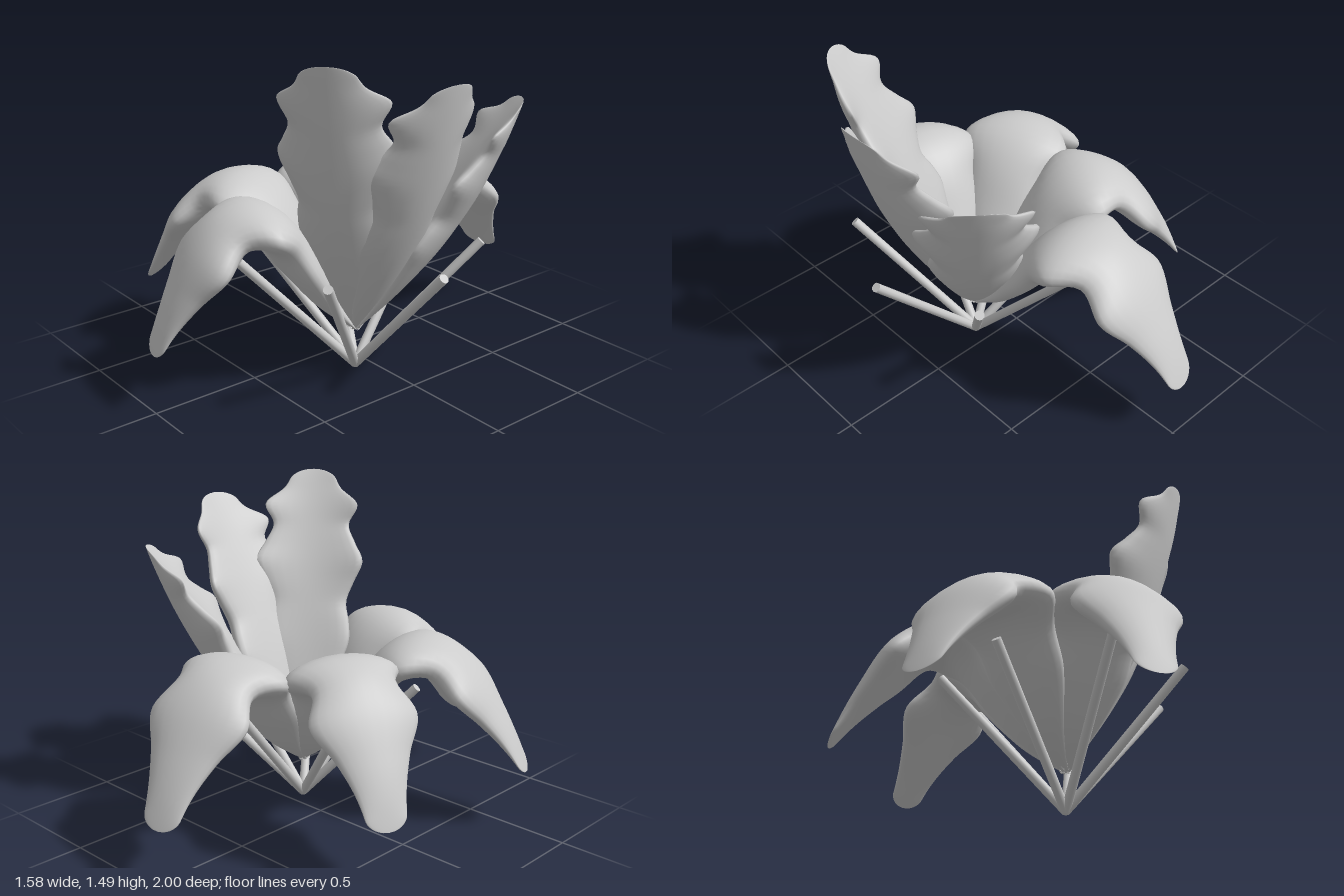
import * as THREE from 'three';

const material = new THREE.MeshStandardMaterial({ color: 0xcccccc });
const RINGS = 64, SIDES = 24, BASE_Y = 0.17;

// Midribs as (outward, height); upright ones are scaled per leaf
const archedRib = [[0, 0.17], [0.15, 0.33], [0.27, 0.5], [0.37, 0.65], [0.45, 0.73], [0.53, 0.76],
  [0.63, 0.735], [0.735, 0.645], [0.85, 0.49], [0.93, 0.37], [1, 0.25]];
const uprightRib = [[0, 0], [0.28, 0.26], [0.54, 0.51], [0.8, 0.78], [1, 1]];

// Half widths at equal steps from base to tip, giving the wavy lobes
const archedWidths = [0.02, 0.07, 0.13, 0.18, 0.195, 0.26, 0.19, 0.24, 0.165, 0.11, 0.085];
const uprightWidths = [0.02, 0.05, 0.085, 0.115, 0.145, 0.175, 0.205, 0.2, 0.185, 0.22, 0.26,
  0.22, 0.185, 0.225, 0.135, 0.1];

const spline = (points) => new THREE.SplineCurve(points.map(([x, y]) => new THREE.Vector2(x, y)));

// Sweeps a plump oval section along a midrib; cup lowers the side edges, or raises them if negative
function leafGeometry(rib, widths, thickness, cup) {
  const path = spline(rib);
  const widthCurve = spline(widths.map((w, i) => [i, w]));
  const positions = [], indices = [];
  for (let i = 0; i <= RINGS; i++) {
    const t = 1 - Math.pow(1 - i / RINGS, 1.5);
    const p = path.getPointAt(t), tan = path.getTangentAt(t);
    const tip = Math.max(0, (t - 0.96) / 0.04);
    const w = widthCurve.getPoint(t).y * Math.sqrt(Math.max(0, 1 - tip * tip));
    const h = thickness * Math.pow(Math.max(0, Math.sin(Math.PI * t)), 0.9);
    for (let j = 0; j < SIDES; j++) {
      const a = (j / SIDES) * Math.PI * 2;
      const side = w * Math.cos(a);
      const n = h * Math.sin(a) - cup * side * side;
      positions.push(p.x - tan.y * n, p.y + tan.x * n, side);
      if (i < RINGS) {
        const k = (j + 1) % SIDES, r = i * SIDES, s = r + SIDES;
        indices.push(r + j, s + j, r + k, s + j, s + k, r + k);
      }
    }
  }
  const geometry = new THREE.BufferGeometry();
  geometry.setAttribute('position', new THREE.Float32BufferAttribute(positions, 3));
  geometry.setIndex(indices);
  geometry.computeVertexNormals();
  return geometry;
}

function archedLeaf(reach) {
  return leafGeometry(archedRib.map(([r, y]) => [r * reach, y]), archedWidths, 0.088, 0.2);
}

function uprightLeaf(reach, top) {
  const rib = uprightRib.map(([r, y]) => [r * reach, BASE_Y + y * (top - BASE_Y)]);
  return leafGeometry(rib, uprightWidths, 0.075, -1.4);
}

// Straight stalk leaning outward from the root point
function stalkGeometry() {
  const end = new THREE.Vector2(0.55, 0.59);
  const length = end.length();
  return new THREE.CylinderGeometry(0.021, 0.021, length, 12)
    .translate(0, length / 2, 0)
    .rotateZ(-Math.atan2(end.x, end.y));
}

export function createModel() {
  const model = new THREE.Group();
  model.name = 'plant';

  // Seven leaves, evenly turned around the root
  const leaves = [
    uprightLeaf(0.595, 1.39),
    uprightLeaf(0.58, 1.48),
    archedLeaf(0.94),
    archedLeaf(1.07),
    archedLeaf(1.02),
    archedLeaf(1.1),
    uprightLeaf(0.7, 1.23),
  ];
  const stalk = stalkGeometry();

  leaves.forEach((geometry, i) => {
    const frond = new THREE.Group();
    frond.name = `frond${i + 1}`;
    const leaf = new THREE.Mesh(geometry, material);
    leaf.name = 'leaf';
    const stem = new THREE.Mesh(stalk, material);
    stem.name = 'stalk';
    frond.add(leaf, stem);
    frond.rotation.y = (-i / leaves.length) * Math.PI * 2;
    frond.position.set(0.195, 0, 0.08);
    model.add(frond);
  });
  return model;
}
